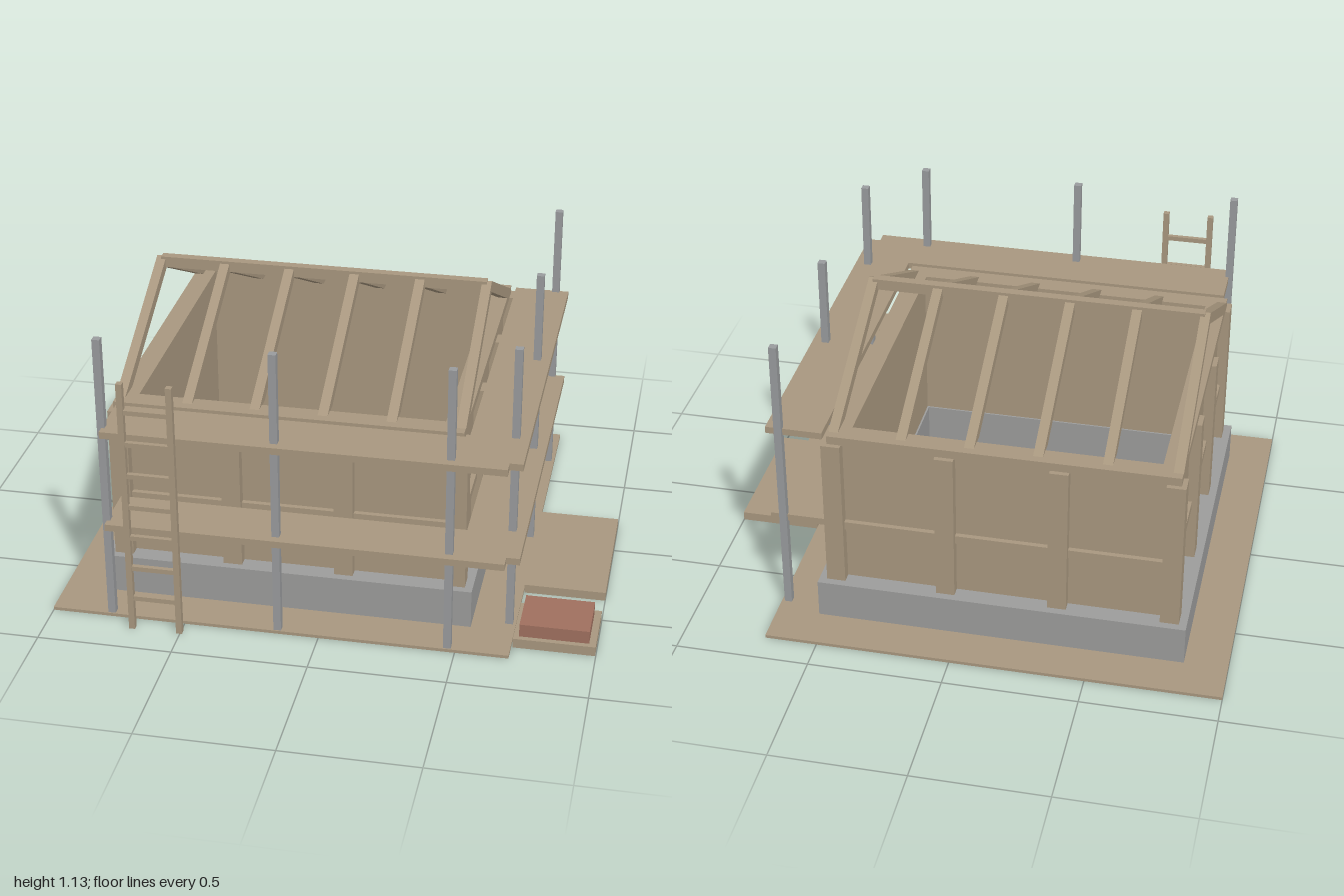
import * as THREE from 'three';

export function createModel() {
  const model = new THREE.Group();
  const mat = (name, color) => Object.assign(new THREE.MeshStandardMaterial({ color }), { name });
  const wood = mat('wood', 0xa8977f);
  const concrete = mat('concrete', 0x9c9c9b);
  const steel = mat('steel', 0x999b9d);
  const brick = mat('brick', 0x9f705f);

  const add = (name, geometry, material) => {
    const mesh = new THREE.Mesh(geometry, material);
    mesh.name = name;
    model.add(mesh);
    return mesh;
  };
  // Box given by its minimum and maximum on each axis
  const box = (name, m, x0, x1, y0, y1, z0, z1) =>
    add(name, new THREE.BoxGeometry(x1 - x0, y1 - y0, z1 - z0)
      .translate((x0 + x1) / 2, (y0 + y1) / 2, (z0 + z1) / 2), m);

  // House centre
  const cx = -0.152, cz = -0.034;

  // Square ring around the house, extruded upwards
  const ring = (name, m, outer, inner, y0, y1) => {
    const square = (r, P) => new P([[-r, -r], [r, -r], [r, r], [-r, r]].map(p => new THREE.Vector2(...p)));
    const shape = square(outer, THREE.Shape);
    shape.holes.push(square(inner, THREE.Path));
    const g = new THREE.ExtrudeGeometry(shape, { depth: y1 - y0, bevelEnabled: false });
    add(name, g.rotateX(-Math.PI / 2).translate(cx, y0, cz), m);
  };

  // Site, footing and walls
  box('ground', wood, -1, 0.695, 0, 0.012, -0.885, 0.812);
  ring('foundation', concrete, 0.687, 0.565, 0.004, 0.16);
  ring('wallPanels', wood, 0.618, 0.572, 0.16, 0.752);
  ring('middleRail', wood, 0.637, 0.6, 0.38, 0.413);
  ring('topPlate', wood, 0.64, 0.563, 0.75, 0.784);

  // Studs: four per side, corners shared
  const studs = [-0.623, -0.208, 0.208, 0.623], h = 0.035;
  for (const a of studs) for (const b of studs) {
    if (Math.abs(a) < 0.5 && Math.abs(b) < 0.5) continue;
    // Middle studs stay clear of the inner wall face
    box('stud', wood, cx + a - h, cx + a + h, 0.16, 0.752, cz + b - h, cz + b + h);
  }

  // Rafter pairs, cut flat on the plate
  for (let i = 0; i < 6; i++) {
    for (const s of [1, -1]) {
      const pts = [[0.607, 0.78], [0.607, 0.784], [0, 1.085], [0, 1.04], [0.52, 0.78]];
      const shape = new THREE.Shape(pts.map(([z, y]) => new THREE.Vector2(-s * z, y)));
      const g = new THREE.ExtrudeGeometry(shape, { depth: 0.036, bevelEnabled: false });
      g.translate(0, 0, -0.018).rotateY(Math.PI / 2).translate(cx - 0.623 + i * 0.2492, 0, cz - 0.002);
      add('rafter', g, wood);
    }
  }
  box('ridgeBeam', wood, cx - 0.622, cx + 0.624, 1.045, 1.087, -0.054, -0.019);

  // L-shaped scaffold decks with a notch at the outer corner
  const outline = [[-0.775, 0.628], [0.51, 0.628], [0.51, -0.658], [0.72, -0.658],
    [0.72, 0.79], [0.672, 0.79], [0.672, 0.838], [-0.775, 0.838]];
  for (const y of [0.38, 0.757]) {
    const shape = new THREE.Shape(outline.map(([x, z]) => new THREE.Vector2(x, -z)));
    const g = new THREE.ExtrudeGeometry(shape, { depth: 0.026, bevelEnabled: false });
    add('scaffoldDeck', g.rotateX(-Math.PI / 2).translate(0, y, 0), wood);
  }

  // Scaffold posts along the front and the left side
  const posts = [[-0.777, 0.793], [-0.153, 0.793], [0.471, 0.793], [0.67, 0.593], [0.67, -0.034], [0.67, -0.658]];
  for (const [x, z] of posts)
    box('scaffoldPost', steel, x - 0.014, x + 0.014, 0, 1.127, z - 0.014, z + 0.014);

  // Ladder
  for (const x of [-0.68, -0.503])
    box('ladderRail', wood, x - 0.011, x + 0.011, 0, 1, 0.857, 0.88);
  for (let i = 0; i < 7; i++) {
    const y = 0.13 + i * 0.1265;
    box('ladderRung', wood, -0.672, -0.511, y - 0.009, y + 0.009, 0.86, 0.877);
  }

  // Materials beside the house
  box('timberStack', wood, 0.697, 1, 0, 0.034, -0.185, 0.365);
  box('pallet', wood, 0.7, 0.998, 0, 0.037, 0.495, 0.738);
  box('brickStack', brick, 0.72, 0.973, 0.037, 0.087, 0.518, 0.718);

  return model;
}
